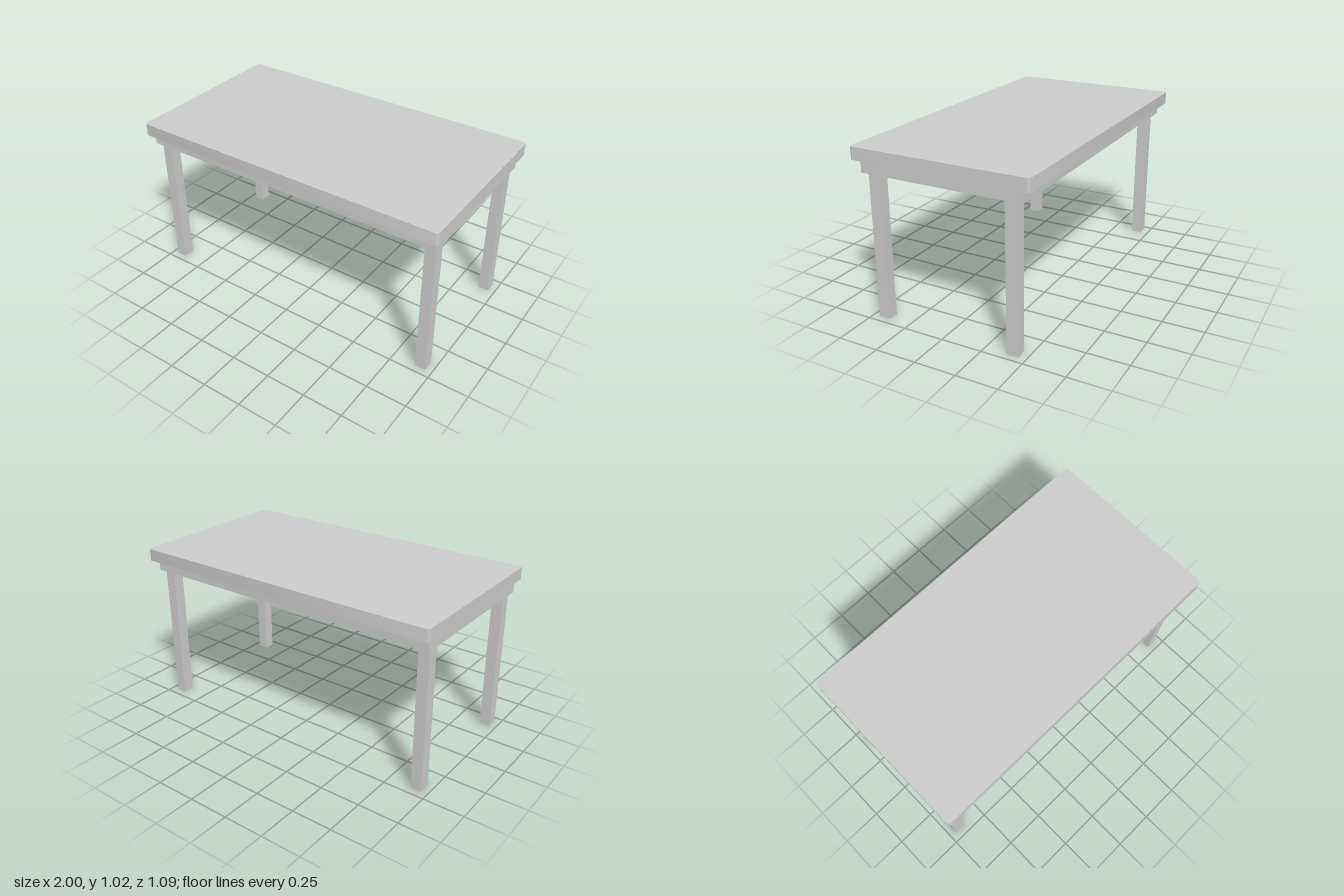
import * as THREE from 'three';
import { toCreasedNormals } from 'three/addons/utils/BufferGeometryUtils.js';

const material = new THREE.MeshStandardMaterial({ color: 0xcccccc });

function addBox(parent, name, size, position) {
  const mesh = new THREE.Mesh(new THREE.BoxGeometry(...size), material);
  mesh.name = name;
  mesh.position.set(...position);
  parent.add(mesh);
}

// Slab lying flat, with rounded vertical corners
function slabGeometry(width, depth, height, r) {
  const x = width / 2, y = depth / 2;
  const shape = new THREE.Shape();
  shape.absarc(x - r, y - r, r, 0, Math.PI / 2);
  shape.absarc(-x + r, y - r, r, Math.PI / 2, Math.PI);
  shape.absarc(-x + r, -y + r, r, Math.PI, Math.PI * 1.5);
  shape.absarc(x - r, -y + r, r, Math.PI * 1.5, Math.PI * 2);
  const geometry = new THREE.ExtrudeGeometry(shape, { depth: height, bevelEnabled: false, curveSegments: 6 });
  geometry.rotateX(-Math.PI / 2);
  return toCreasedNormals(geometry, Math.PI / 5);
}

export function createModel() {
  const table = new THREE.Group();
  table.name = 'table';
  const topY = 1.025, slabY = 0.95, apronY = 0.876;

  // Tabletop
  const top = new THREE.Mesh(slabGeometry(2, 1.09, topY - slabY, 0.02), material);
  top.name = 'tabletop';
  top.position.y = slabY;
  table.add(top);

  // Underframe, open in the middle
  const frame = new THREE.Group();
  frame.name = 'underframe';
  frame.position.set(-0.002, 0, 0.002);
  table.add(frame);

  const halfX = 0.975, halfZ = 0.493, board = 0.015;
  const apronHeight = slabY - apronY, apronMid = (slabY + apronY) / 2;
  for (const s of [1, -1]) {
    addBox(frame, s > 0 ? 'frontApron' : 'backApron',
      [halfX * 2, apronHeight, board], [0, apronMid, s * (halfZ - board / 2)]);
    addBox(frame, s > 0 ? 'leftApron' : 'rightApron',
      [board, apronHeight, (halfZ - board) * 2], [s * (halfX - board / 2), apronMid, 0]);

    // Square legs running up to the tabletop
    for (const t of [1, -1]) {
      const name = (t > 0 ? 'front' : 'back') + (s > 0 ? 'Left' : 'Right') + 'Leg';
      addBox(frame, name, [0.067, slabY, 0.07], [s * 0.927, slabY / 2, t * 0.42]);
    }
  }
  return table;
}
